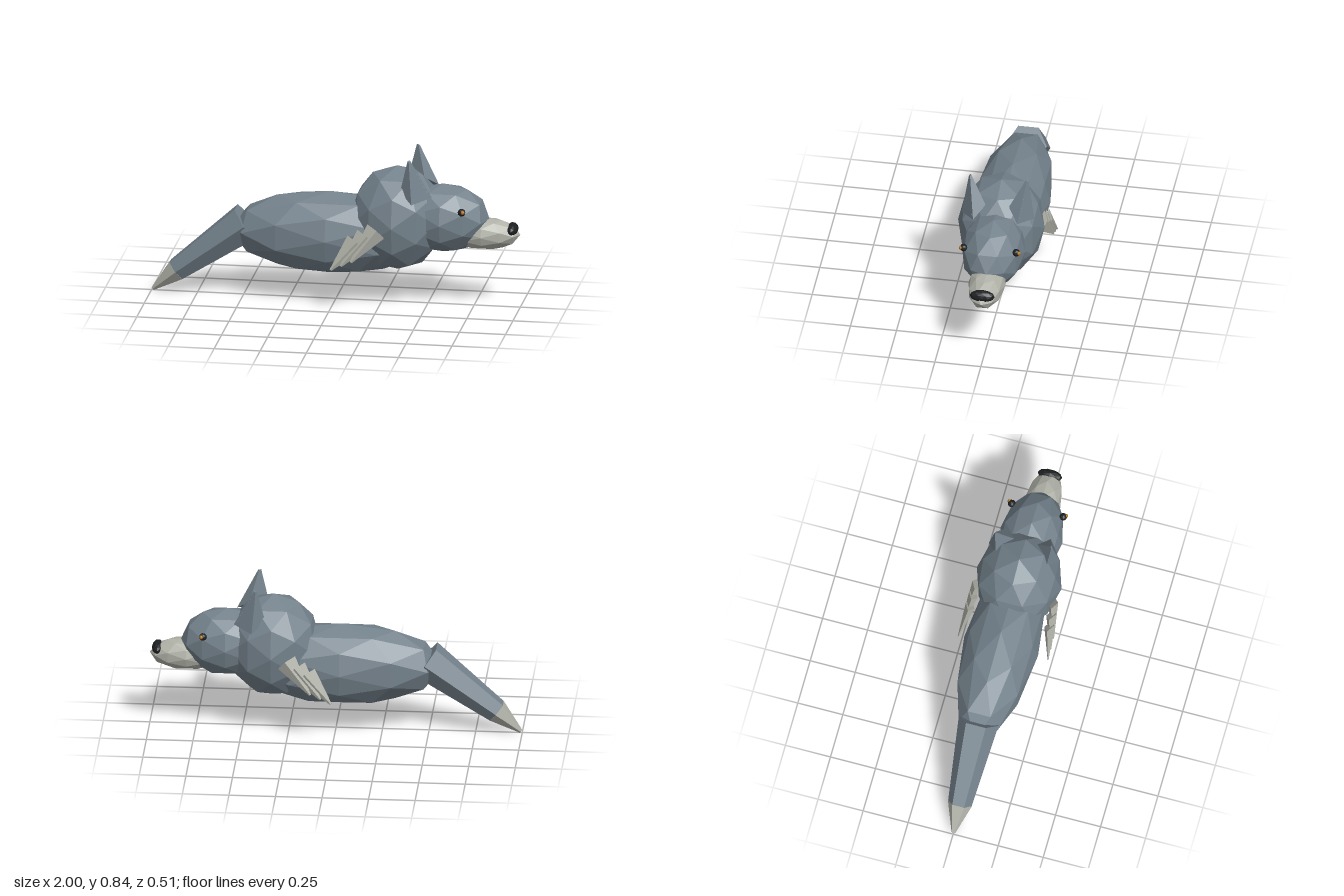
import * as THREE from 'three';

const mat = (color) => new THREE.MeshStandardMaterial({ color, flatShading: true, roughness: 0.9 });

export function createModel() {
  const group = new THREE.Group();
  const fur = mat(0x74828c), pale = mat(0xb0b2a8), dark = mat(0x1d2022), amber = mat(0xb87518);

  const add = (name, geometry, material) => {
    const mesh = new THREE.Mesh(geometry, material);
    mesh.name = name;
    group.add(mesh);
  };

  // Faceted ellipsoid
  const blob = (name, material, center, radii, detail = 1) => {
    const g = new THREE.IcosahedronGeometry(1, detail);
    g.scale(...radii);
    g.translate(...center);
    add(name, g, material);
  };

  // Tapered prism from base to tip; u and w are the half axes of its base
  const taper = (name, material, base, tip, u, w, ratio, sides) => {
    const a = new THREE.Vector3(...base), axis = new THREE.Vector3(...tip).sub(a);
    const U = new THREE.Vector3(...u), W = new THREE.Vector3(...w);
    if (U.clone().cross(axis).dot(W) < 0) W.negate();
    const g = new THREE.CylinderGeometry(ratio, 1, 1, sides).translate(0, 0.5, 0);
    g.applyMatrix4(new THREE.Matrix4().makeBasis(U, axis, W).setPosition(a));
    add(name, g, material);
  };

  // Body, neck ruff, head and snout
  blob('body', fur, [-0.03, 0.375, 0], [0.55, 0.228, 0.205]);
  blob('ruff', fur, [0.335, 0.475, 0], [0.255, 0.29, 0.235]);
  blob('head', fur, [0.585, 0.485, 0], [0.25, 0.19, 0.172]);
  blob('muzzle', pale, [0.8, 0.408, 0], [0.2, 0.088, 0.1]);
  blob('nose', dark, [0.957, 0.438, 0], [0.032, 0.034, 0.068]);

  // Six-sided tail with a pale tip
  taper('tail', fur, [-0.484, 0.41, 0], [-0.865, 0.122, 0],
    [0.066, -0.089, 0], [0, 0, 0.11], 0.59, 6);
  taper('tailTip', pale, [-0.862, 0.124, 0], [-0.993, 0.009, 0],
    [0.042, -0.051, 0], [0, 0, 0.067], 0.16, 6);

  for (const s of [1, -1]) {
    const side = s > 0 ? 'left' : 'right';

    // Ears
    taper(side + 'Ear', fur, [0.455, 0.645, 0.13 * s], [0.422, 0.838, 0.155 * s],
      [0.085, -0.015, -0.01 * s], [-0.015, -0.04, 0.067 * s], 0.1, 4);
    taper(side + 'InnerEar', pale, [0.468, 0.655, 0.135 * s], [0.437, 0.805, 0.153 * s],
      [0.055, -0.01, -0.006 * s], [-0.008, -0.02, 0.035 * s], 0.1, 4);

    // Eyes
    blob(side + 'Eye', dark, [0.704, 0.561, 0.143 * s], [0.021, 0.021, 0.021]);
    blob(side + 'Iris', amber, [0.712, 0.564, 0.157 * s], [0.011, 0.011, 0.011]);

    // Three overlapping shoulder tufts swept back
    for (let i = 0; i < 3; i++) {
      taper(side + 'ShoulderTuft' + (i + 1), pale,
        [0.25 - 0.053 * i, 0.455 - 0.033 * i, (0.212 + 0.004 * i) * s],
        [0.12 - 0.055 * i, 0.285 - 0.024 * i, 0.25 * s],
        [0.046, -0.038, 0], [0.008, 0.01, 0.026 * s], 0.1, 4);
    }
  }
  return group;
}
